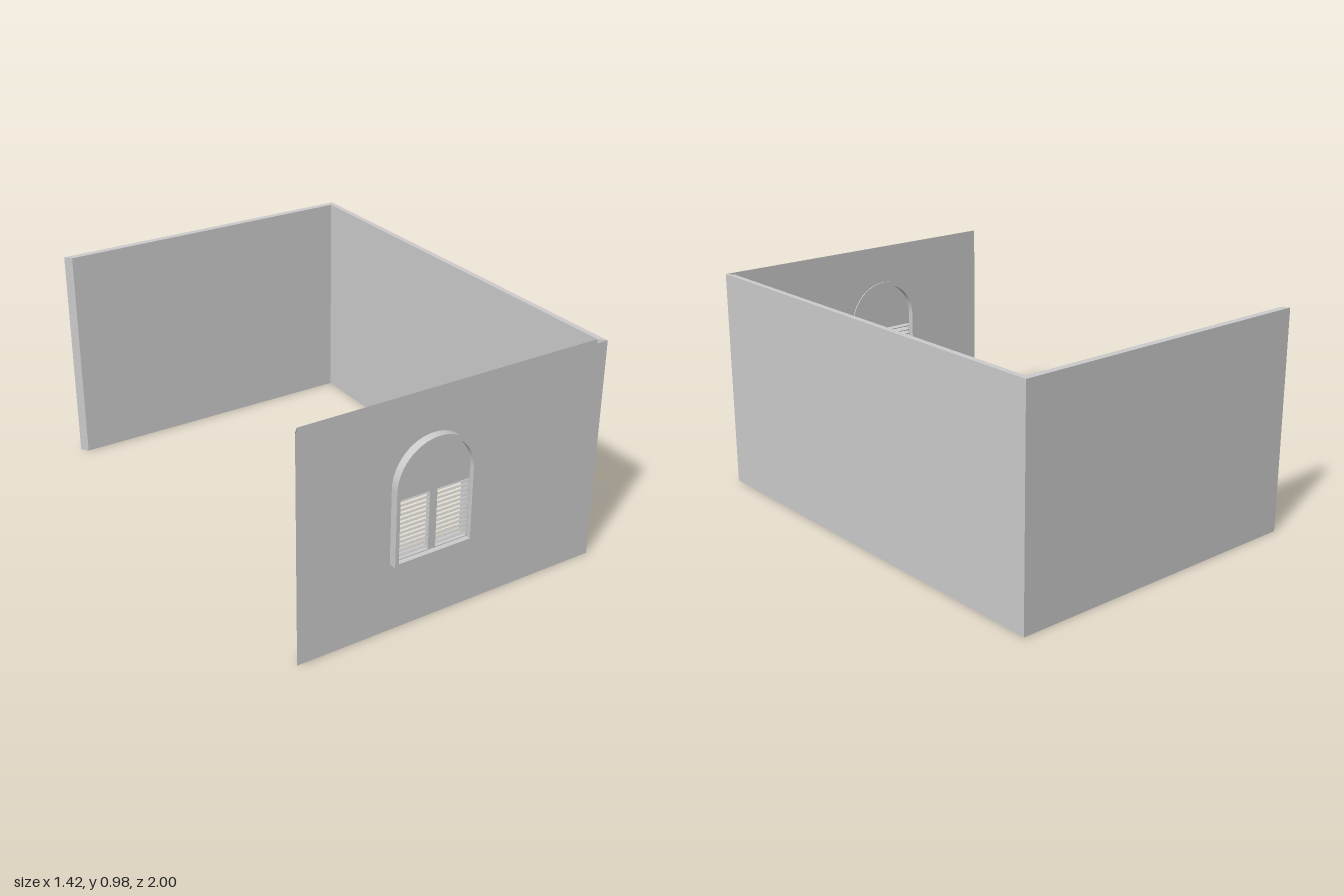
import * as THREE from 'three';

const HEIGHT = 0.975;
const X_OUT = 0.71, X_IN = 0.685;
const Z_BACK = -1, Z_BACK_IN = -0.97, Z_FRONT = 0.965, Z_FRONT_IN = 0.935;
const WIN_X = -0.1175, SPRING = 0.627;

const material = new THREE.MeshStandardMaterial({ color: 0xcccccc, side: THREE.DoubleSide });

function add(parent, name, geometry, x = 0, y = 0, z = 0) {
  const mesh = new THREE.Mesh(geometry, material);
  mesh.name = name;
  mesh.position.set(x, y, z);
  parent.add(mesh);
  return mesh;
}

// Round-headed outline, used for the frame and for the opening in the wall
function arch(target, radius, bottom) {
  target.moveTo(WIN_X - radius, bottom);
  target.lineTo(WIN_X + radius, bottom);
  target.lineTo(WIN_X + radius, SPRING);
  target.absarc(WIN_X, SPRING, radius, 0, Math.PI, false);
  target.closePath();
  return target;
}

function polygon(points, Type = THREE.Shape) {
  return new Type(points.map(([x, y]) => new THREE.Vector2(x, y)));
}

function rectangle(x0, y0, x1, y1, Type) {
  return polygon([[x0, y0], [x1, y0], [x1, y1], [x0, y1]], Type);
}

function extrude(shape, depth) {
  return new THREE.ExtrudeGeometry(shape, { depth, bevelEnabled: false, curveSegments: 24 });
}

export function createModel() {
  const model = new THREE.Group();
  model.name = 'walledRoom';

  // Back and side walls: one L-shaped plan with mitred free ends
  const plan = polygon([
    [-X_OUT, -Z_BACK], [-X_IN, -Z_BACK_IN], [X_IN, -Z_BACK_IN],
    [X_IN, -Z_FRONT_IN], [X_OUT, -Z_FRONT], [X_OUT, -Z_BACK],
  ]);
  add(model, 'backAndSideWalls', extrude(plan, HEIGHT)).rotation.x = -Math.PI / 2;

  // Front wall: two pierced skins, open along the top and bottom
  const frontWall = new THREE.Group();
  frontWall.name = 'frontWall';
  model.add(frontWall);
  function skin(halfWidth) {
    const shape = rectangle(-halfWidth, 0, halfWidth, HEIGHT);
    shape.holes.push(arch(new THREE.Path(), 0.175, 0.308));
    return new THREE.ShapeGeometry(shape, 24);
  }
  add(frontWall, 'outerSkin', skin(X_OUT), 0, 0, Z_FRONT);
  const inner = skin(X_IN);
  const index = inner.index.array;
  for (let i = 0; i < index.length; i += 3) [index[i], index[i + 1]] = [index[i + 1], index[i]];
  inner.attributes.normal.array.forEach((v, i, a) => { a[i] = -v; });
  add(frontWall, 'innerSkin', inner, 0, 0, Z_FRONT_IN);

  // Mitred ends of the front wall
  for (const side of [-1, 1]) {
    const end = new THREE.PlaneGeometry(Math.hypot(X_OUT - X_IN, Z_FRONT - Z_FRONT_IN), HEIGHT);
    const mesh = add(frontWall, 'mitredEnd', end,
      side * (X_OUT + X_IN) / 2, HEIGHT / 2, (Z_FRONT + Z_FRONT_IN) / 2);
    mesh.rotation.y = Math.atan2(side * (Z_FRONT - Z_FRONT_IN), -(X_OUT - X_IN));
  }

  // Arched window frame
  const windowGroup = new THREE.Group();
  windowGroup.name = 'window';
  model.add(windowGroup);
  const frame = arch(new THREE.Shape(), 0.183, 0.302);
  frame.holes.push(arch(new THREE.Path(), 0.167, 0.315));
  add(windowGroup, 'frame', extrude(frame, 0.07), 0, 0, 0.93);

  // Two shutter leaves, each with a quarter-round top and a louvred opening
  const radius = 0.167, bottom = 0.315, louvreTop = 0.574, slatCount = 13;
  for (const side of [-1, 1]) {
    const leaf = new THREE.Group();
    leaf.name = side < 0 ? 'rightShutter' : 'leftShutter';
    windowGroup.add(leaf);
    const outerX = WIN_X + side * radius;
    const shape = new THREE.Shape();
    shape.moveTo(WIN_X, bottom);
    shape.lineTo(outerX, bottom);
    shape.lineTo(outerX, SPRING);
    shape.absarc(WIN_X, SPRING, radius, side > 0 ? 0 : Math.PI, Math.PI / 2, side < 0);
    shape.closePath();
    const a = WIN_X + side * 0.017, b = WIN_X + side * 0.1655;
    shape.holes.push(rectangle(a, bottom + 0.004, b, louvreTop, THREE.Path));
    add(leaf, 'panel', extrude(shape, 0.02), 0, 0, 0.958);

    // Louvre slats, front edge raised
    const pitch = (louvreTop - bottom - 0.004) / slatCount;
    const slat = new THREE.BoxGeometry(Math.abs(b - a), 0.004, 0.022);
    for (let i = 0; i < slatCount; i++) {
      const mesh = add(leaf, 'slat', slat, (a + b) / 2, bottom + 0.004 + pitch * (i + 0.5), 0.968);
      mesh.rotation.x = -0.4;
    }
  }
  return model;
}
